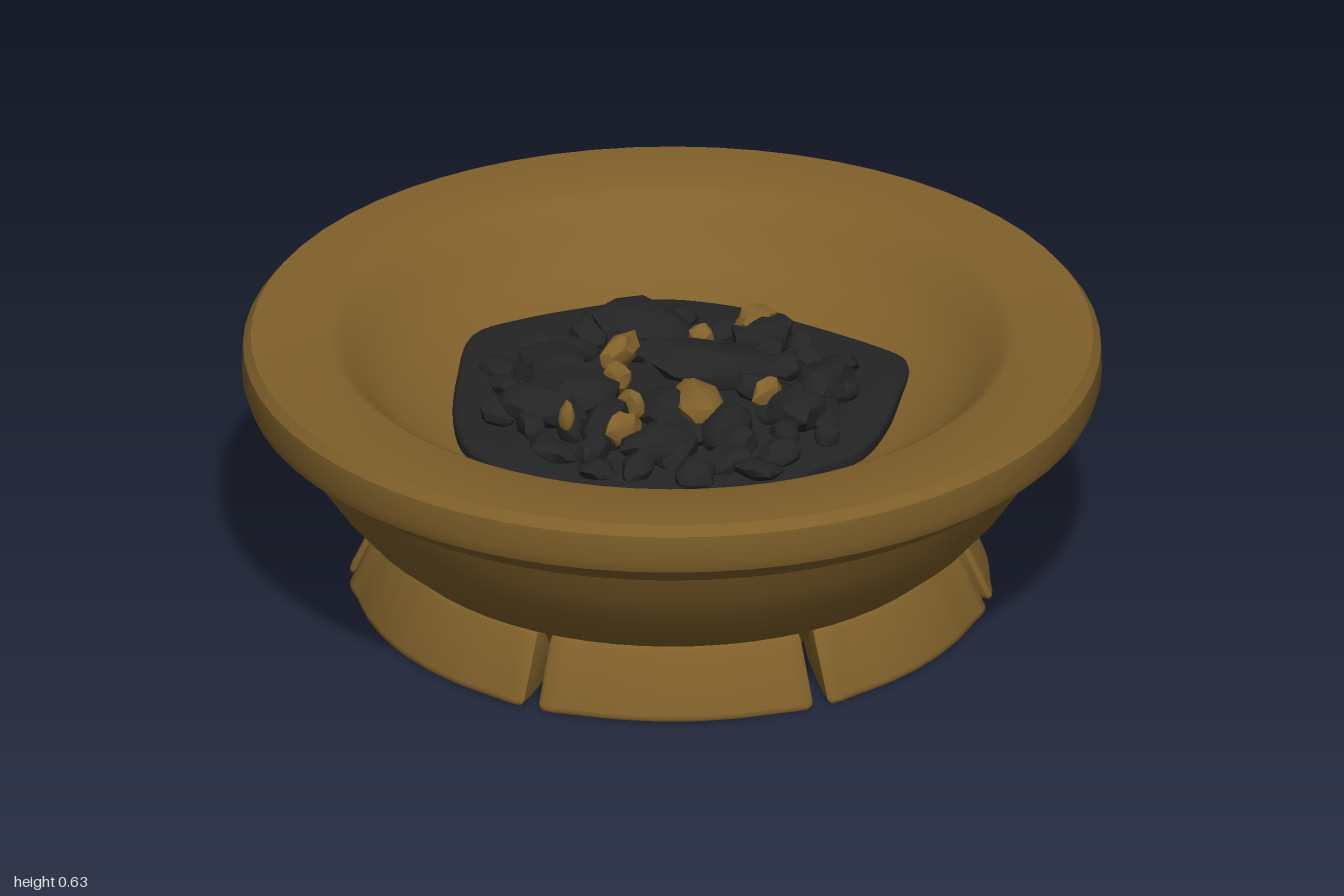
import * as THREE from 'three';
import { toCreasedNormals, mergeVertices } from 'three/addons/utils/BufferGeometryUtils.js';

const clay = new THREE.MeshStandardMaterial({ color: 0x80602a });
clay.name = 'brownClay';
const charcoal = new THREE.MeshStandardMaterial({ color: 0x242424 });
charcoal.name = 'charcoal';

let seed = 7;
const rand = () => (seed = (seed * 16807) % 2147483647) / 2147483647;
const between = (a, b) => a + (b - a) * rand();

function add(parent, name, geometry, material) {
  const mesh = new THREE.Mesh(geometry, material);
  mesh.name = name;
  parent.add(mesh);
  return mesh;
}

// Rounded slab from an outline of [x, z] points, spanning y0 to y1
function slab(outline, y0, y1, bevel, tension = 0.25) {
  const path = new THREE.CatmullRomCurve3(
    outline.map(([x, z]) => new THREE.Vector3(x, z, 0)), true, 'catmullrom', tension);
  const pts = path.getPoints(outline.length * 4).slice(0, -1).map(p => new THREE.Vector2(p.x, p.y));
  const g = new THREE.ExtrudeGeometry(new THREE.Shape(pts), {
    depth: y1 - y0 - 2 * bevel, bevelThickness: bevel, bevelSize: bevel,
    bevelOffset: -bevel, bevelSegments: 3, steps: 1,
  });
  g.rotateX(Math.PI / 2);
  g.translate(0, y1 - bevel, 0);
  return g;
}

// Foot stone, narrowing towards the bowl
function footStone(outline) {
  const g = slab(outline, 0.005, 0.175, 0.018);
  const p = g.attributes.position;
  for (let i = 0; i < p.count; i++) {
    const k = 1 - 0.62 * p.getY(i);
    p.setX(i, p.getX(i) * k);
    p.setZ(i, p.getZ(i) * k);
  }
  return toCreasedNormals(g, 0.7);
}

// Outer arc of a foot stone between two angles in degrees, measured from +z towards +x
function arc(a0, a1) {
  const n = Math.ceil((a1 - a0) / 8), out = [];
  for (let i = 0; i <= n; i++) {
    const a = THREE.MathUtils.degToRad(a0 + (a1 - a0) * i / n);
    out.push([0.745 * Math.sin(a), 0.745 * Math.cos(a)]);
  }
  return out;
}

// Irregular lump with a chipped surface
function lump(sx, sy, sz) {
  const g = new THREE.IcosahedronGeometry(1, 1);
  g.deleteAttribute('normal');
  g.deleteAttribute('uv');
  const m = mergeVertices(g, 1e-3), p = m.attributes.position;
  for (let i = 0; i < p.count; i++) {
    const k = between(0.8, 1.12);
    p.setXYZ(i, p.getX(i) * k * sx, p.getY(i) * k * sy, p.getZ(i) * k * sz);
  }
  return toCreasedNormals(m, 0.55);
}

export function createModel() {
  const model = new THREE.Group();
  model.name = 'fireBowl';

  // Bowl: underside, flared wall, thick rim and hollow inside
  const profile = [
    [0, 0.1], [0.59, 0.1], [0.63, 0.15], [0.67, 0.17], [0.74, 0.23], [0.8, 0.3], [0.855, 0.38],
    [0.895, 0.46], [0.91, 0.462], [0.985, 0.52], [0.995, 0.55], [0.993, 0.615], [0.975, 0.638],
    [0.79, 0.638], [0.765, 0.625], [0.72, 0.565], [0.64, 0.495], [0.53, 0.44], [0.35, 0.41], [0, 0.4],
  ].map(([r, y]) => new THREE.Vector2(r, y));
  add(model, 'bowl', toCreasedNormals(new THREE.LatheGeometry(profile, 64), 0.5), clay);

  // Foot: a ring of stones round three inner ones
  const foot = new THREE.Group();
  foot.name = 'foot';
  model.add(foot);
  const ring = [
    [15, 66, [[0.45, 0.25], [0.3, 0.33], [0.19, 0.44]]],
    [69, 118, [[0.46, -0.18], [0.48, -0.03], [0.49, 0.1]]],
    [121, 213, [[-0.25, -0.41], [-0.06, -0.42], [0.12, -0.37], [0.3, -0.32]]],
    [216, 308, [[-0.42, 0.15], [-0.39, -0.03], [-0.34, -0.3]]],
    [311, 372, [[0.08, 0.53], [-0.15, 0.36], [-0.36, 0.23]]],
  ];
  for (const [a0, a1, inner] of ring) add(foot, 'outerFootStone', footStone([...arc(a0, a1), ...inner]), clay);
  const core = [
    [[0.42, 0.15], [0.42, 0], [0.2, -0.01], [0.03, 0.26], [0.08, 0.45], [0.2, 0.37]],
    [[0.41, -0.18], [0.23, -0.29], [-0.04, -0.36], [-0.23, -0.35], [-0.08, -0.18], [0.2, -0.06]],
    [[0.14, -0.01], [-0.05, -0.13], [-0.25, -0.28], [-0.34, -0.03], [-0.34, 0.14], [-0.15, 0.3], [0, 0.25]],
  ];
  for (const outline of core) add(foot, 'innerFootStone', footStone(outline), clay);

  // Bed of ash with a ragged edge
  const bed = slab([
    [0.2, -0.53], [0.3, -0.5], [0.37, -0.38], [0.44, -0.25], [0.49, -0.1], [0.47, 0.05], [0.49, 0.15],
    [0.42, 0.33], [0.33, 0.45], [0.2, 0.52], [0, 0.51], [-0.2, 0.49], [-0.35, 0.37], [-0.48, 0.2],
    [-0.58, 0.03], [-0.55, -0.1], [-0.47, -0.25], [-0.38, -0.38], [-0.25, -0.46], [-0.1, -0.5],
  ], 0.4, 0.468, 0.012, 0.5);
  add(model, 'ashBed', toCreasedNormals(bed, 0.7), charcoal);

  // Large coals: x, z, half length, half width, turn
  const coals = new THREE.Group();
  coals.name = 'coals';
  model.add(coals);
  const large = [
    [0, -0.16, 0.19, 0.09, 0.8], [-0.25, -0.21, 0.13, 0.09, 0.3], [-0.28, 0.09, 0.09, 0.09, 0],
    [-0.16, 0.14, 0.11, 0.08, 0.7], [0.26, -0.24, 0.06, 0.11, 0.3], [0.07, 0.08, 0.09, 0.08, 0.5],
    [0.23, 0.08, 0.06, 0.08, 0.4], [-0.02, -0.35, 0.08, 0.07, 1], [0.3, -0.09, 0.07, 0.08, 0],
    [0.01, 0.24, 0.06, 0.09, 0.2], [0.16, 0.24, 0.06, 0.1, -0.3], [-0.17, 0.27, 0.11, 0.06, 0.5],
  ];
  for (const [x, z, a, b, turn] of large) {
    const coal = add(coals, 'largeCoal', lump(a, 0.055, b), charcoal);
    coal.position.set(x, 0.5, z);
    coal.rotation.set(between(-0.2, 0.2), turn, between(-0.2, 0.2));
  }

  // Small coals scattered outwards from the middle
  for (let i = 0; i < 46; i++) {
    const a = i * 2.4, r = 0.14 + 0.29 * Math.sqrt((i + 0.5) / 46);
    const coal = add(coals, 'smallCoal', lump(between(0.03, 0.075), between(0.025, 0.04), between(0.03, 0.055)), charcoal);
    coal.position.set(r * Math.sin(a), 0.505 - 0.06 * r, r * Math.cos(a));
    coal.rotation.set(between(-0.4, 0.4), between(0, 3), between(-0.4, 0.4));
  }

  // Brown chips among the coals: x, z, half length, half width, turn
  const chips = [
    [0.13, 0.06, 0.1, 0.06, -0.7], [-0.04, -0.35, 0.035, 0.06, -0.2], [0.22, -0.08, 0.025, 0.05, 0],
    [-0.18, -0.03, 0.03, 0.08, 0.2], [0.08, 0.27, 0.028, 0.05, -0.2], [-0.06, 0.31, 0.02, 0.02, 0],
    [-0.08, -0.2, 0.03, 0.03, 0.5], [0.02, 0.17, 0.05, 0.025, -0.3], [-0.1, 0.08, 0.04, 0.025, 0],
  ];
  for (const [x, z, a, b, turn] of chips) {
    const chip = add(coals, 'brownChip', lump(a, 0.04, b), clay);
    chip.position.set(x, 0.53, z);
    chip.rotation.y = turn;
  }
  return model;
}
